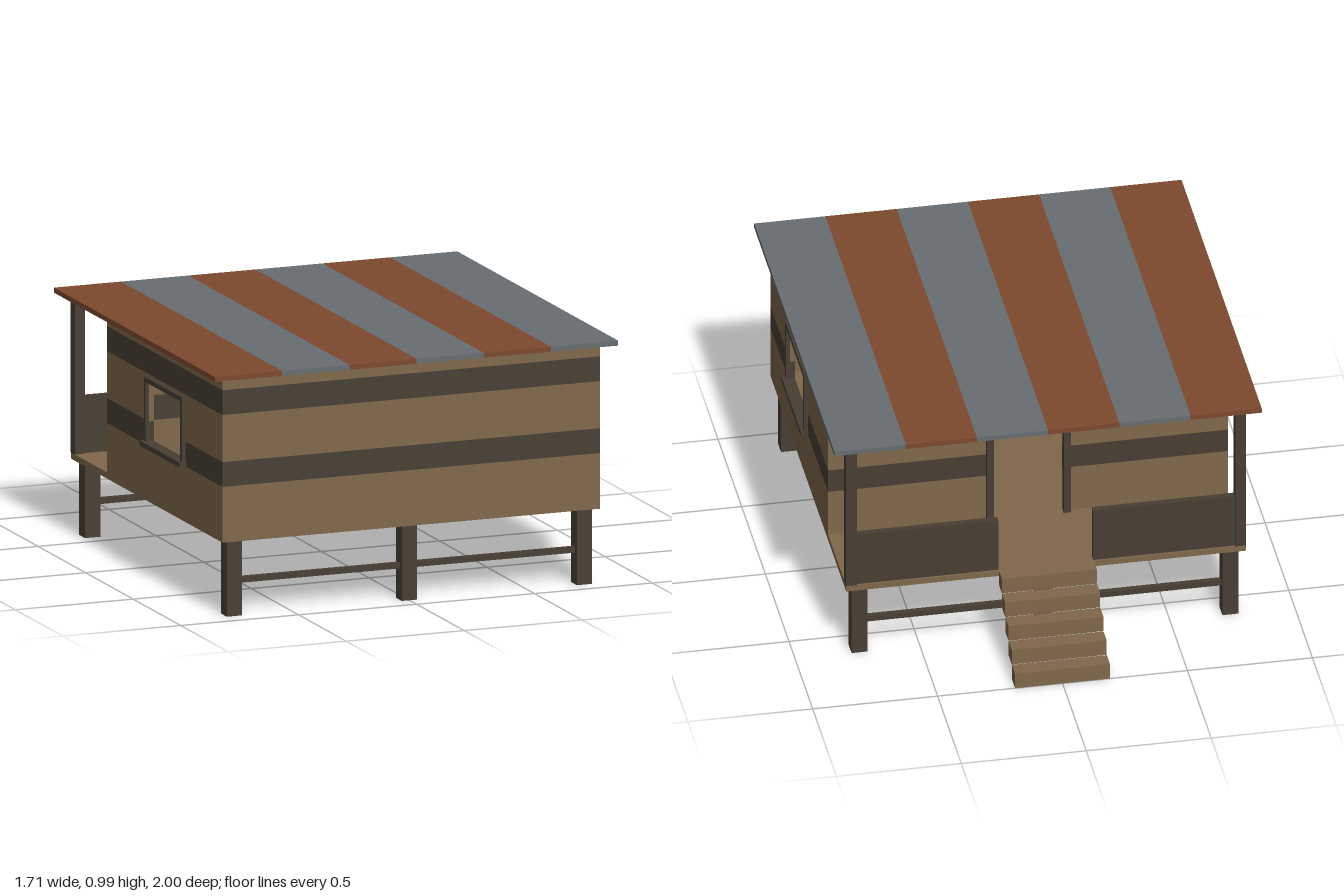
import * as THREE from 'three';

const material = (name, color) => {
  const m = new THREE.MeshStandardMaterial({ color });
  m.name = name;
  return m;
};

export function createModel() {
  const wood = material('tan wood', 0x80674a);
  const dark = material('dark timber', 0x483f33);
  const rust = material('rusty sheet', 0x7d492d);
  const steel = material('grey sheet', 0x676d70);

  const model = new THREE.Group();
  model.name = 'stiltHut';
  const group = (name) => {
    const g = new THREE.Group();
    g.name = name;
    model.add(g);
    return g;
  };

  // Box given by its extents on each axis
  const box = (parent, name, mat, [x0, x1], [y0, y1], [z0, z1]) => {
    const mesh = new THREE.Mesh(new THREE.BoxGeometry(Math.abs(x1 - x0), y1 - y0, Math.abs(z1 - z0)), mat);
    mesh.position.set((x0 + x1) / 2, (y0 + y1) / 2, (z0 + z1) / 2);
    mesh.name = name;
    parent.add(mesh);
  };

  // Stilts with a cross beam along each row
  const stilts = group('stilts');
  for (const z of [0.893, -0.597]) {
    for (const x of [-0.742, 0, 0.742]) {
      box(stilts, 'stilt', dark, [x - 0.032, x + 0.032], [0, 0.305], [z - 0.032, z + 0.032]);
    }
    box(stilts, 'crossBeam', dark, [-0.71, 0.71], [0.127, 0.15], [z - 0.012, z + 0.012]);
  }

  // Floor running out to the porch
  box(model, 'floor', wood, [-0.8, 0.8], [0.305, 0.33], [-0.652, 0.945]);

  // Banded plank walls; an opening is { a: [start, end], y: [bottom, top] }
  const bands = [0.33, 0.53, 0.63, 0.82, 0.92, 0.97];
  const wall = (name, alongX, [a0, a1], depth, opening) => {
    const g = group(name);
    const plank = (mat, a, y) =>
      box(g, 'plank', mat, alongX ? a : depth, y, alongX ? depth : a);
    for (let i = 0; i < bands.length - 1; i++) {
      const mat = i % 2 ? dark : wood;
      const [lo, hi] = [bands[i], bands[i + 1]];
      const cuts = [lo, ...(opening ? opening.y.filter((y) => y > lo && y < hi) : []), hi];
      for (let j = 0; j < cuts.length - 1; j++) {
        const y = [cuts[j], cuts[j + 1]];
        const mid = (y[0] + y[1]) / 2;
        if (opening && mid > opening.y[0] && mid < opening.y[1]) {
          plank(mat, [a0, opening.a[0]], y);
          plank(mat, [opening.a[1], a1], y);
        } else {
          plank(mat, [a0, a1], y);
        }
      }
    }
  };
  const windowHole = { a: [0.172, 0.537], y: [0.55, 0.79] };
  wall('frontWall', true, [-0.8, 0.8], [0.925, 0.945]);
  wall('porchWall', true, [-0.8, 0.8], [-0.27, -0.25], { a: [-0.14, 0.14], y: [0.33, 0.89] });
  wall('leftWall', false, [-0.25, 0.925], [0.78, 0.8], windowHole);
  wall('rightWall', false, [-0.25, 0.925], [-0.8, -0.78], windowHole);

  // Window frames with a wider sill
  for (const s of [-1, 1]) {
    const frame = group('windowFrame');
    const out = [s * 0.8, s * 0.816];
    box(frame, 'frameTop', dark, out, [0.79, 0.81], [0.155, 0.555]);
    box(frame, 'frameSide', dark, out, [0.55, 0.79], [0.155, 0.172]);
    box(frame, 'frameSide', dark, out, [0.55, 0.79], [0.537, 0.555]);
    box(frame, 'sill', dark, [s * 0.8, s * 0.83], [0.53, 0.55], [0.145, 0.565]);
  }

  // Door frame
  const door = group('doorFrame');
  for (const s of [-1, 1]) {
    box(door, 'jamb', dark, [s * 0.14, s * 0.168], [0.33, 0.91], [-0.287, -0.27]);
  }
  box(door, 'lintel', dark, [-0.14, 0.14], [0.89, 0.91], [-0.287, -0.27]);

  // Porch posts and solid railings
  const porch = group('porch');
  for (const s of [-1, 1]) {
    box(porch, 'porchPost', dark, [s * 0.757, s * 0.8], [0.33, 0.97], [-0.653, -0.61]);
    box(porch, 'railing', dark, [s * 0.19, s * 0.757], [0.33, 0.56], [-0.645, -0.618]);
  }

  // Steps down from the porch
  const steps = group('steps');
  for (let i = 0; i < 5; i++) {
    const z = -1 + i * 0.0695;
    box(steps, 'step', wood, [-0.19, 0.19], [i * 0.067, (i + 1) * 0.067], [z, z + 0.067]);
  }

  // Flat roof of alternating sheets
  const roof = group('roof');
  for (let i = 0; i < 6; i++) {
    const x = -0.855 + i * 0.285;
    box(roof, 'roofSheet', i % 2 ? steel : rust, [x, x + 0.285], [0.97, 0.99], [-0.695, 1]);
  }

  return model;
}
